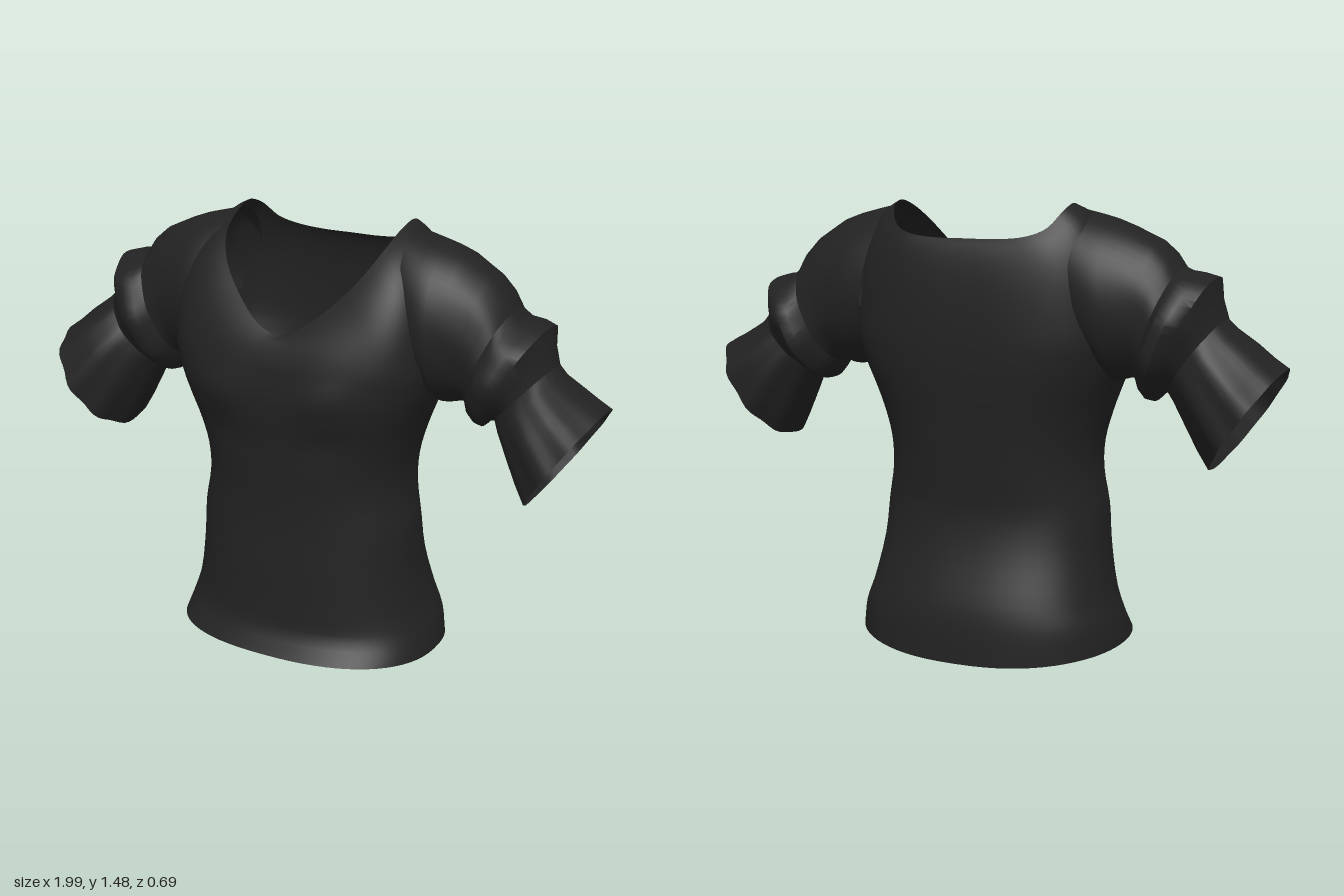
import * as THREE from 'three';
import { toCreasedNormals } from 'three/addons/utils/BufferGeometryUtils.js';

const V = (x, y, z) => new THREE.Vector3(x, y, z);
const { lerp, smoothstep } = THREE.MathUtils;

// Skin a list of closed rings (arrays of Vector3 of equal length), leaving out quads that are cut away
function loft(rings, isCut = () => false) {
  const n = rings[0].length, pos = [], idx = [];
  rings.forEach(r => r.forEach(p => pos.push(p.x, p.y, p.z)));
  for (let j = 0; j < rings.length - 1; j++) {
    for (let i = 0; i < n; i++) {
      const k = (i + 1) % n;
      if (isCut(rings[j][i].clone().lerp(rings[j + 1][k], 0.5))) continue;
      const a = j * n + i, b = j * n + k;
      idx.push(a, b, b + n, a, b + n, a + n);
    }
  }
  const g = new THREE.BufferGeometry();
  g.setAttribute('position', new THREE.Float32BufferAttribute(pos, 3));
  g.setIndex(idx);
  g.computeVertexNormals();
  return g;
}

// Torso levels: height, half width, front z, back z
const LEVELS = [
  [0.04, 0.465, 0.35, -0.345], [0.12, 0.448, 0.295, -0.338], [0.2, 0.42, 0.285, -0.322],
  [0.35, 0.392, 0.278, -0.27], [0.48, 0.382, 0.27, -0.245], [0.6, 0.36, 0.273, -0.258],
  [0.7, 0.363, 0.283, -0.27], [0.8, 0.388, 0.296, -0.28], [0.88, 0.415, 0.306, -0.29],
  [0.96, 0.445, 0.308, -0.298], [1.05, 0.47, 0.3, -0.302],
];

// Half of the neckline, from the front V over the shoulder to the back
const NECK = new THREE.CatmullRomCurve3([
  V(0, 1.14, 0.25), V(0.08, 1.175, 0.235), V(0.16, 1.24, 0.2), V(0.24, 1.33, 0.15),
  V(0.285, 1.41, 0.08), V(0.3, 1.465, -0.02), V(0.305, 1.485, -0.1), V(0.295, 1.46, -0.17),
  V(0.26, 1.41, -0.215), V(0.2, 1.385, -0.242), V(0.1, 1.375, -0.25), V(0, 1.375, -0.25),
]);

// Armhole opening, hidden under the sleeve cap
const inArmhole = p => Math.abs(p.x) > 0.36
  && ((p.y - 1.19) / 0.21) ** 2 + ((p.z + 0.04) / 0.16) ** 2 < 1;

function torsoGeometry() {
  const N = 72;
  const columns = [];
  for (let i = 0; i < N; i++) {
    const a = (i / N) * Math.PI * 2, s = Math.sin(a), c = Math.cos(a);
    const side = i <= N / 2 ? 1 : -1;
    const pts = LEVELS.map(([y, w, f, b], k) => {
      // sections grow squarer towards the chest
      const e = 2 / lerp(2.35, 2.8, smoothstep(y, 0.7, 1.05));
      const x = Math.sign(s) * Math.abs(s) ** e * w;
      let z = (f + b) / 2 + Math.sign(c) * Math.abs(c) ** e * (f - b) / 2;
      // bust fullness and a soft fold beneath it
      if (c > 0) {
        const bump = Math.exp(-(((Math.abs(x) - 0.18) / 0.1) ** 2));
        z += bump * (0.018 * Math.exp(-(((y - 0.97) / 0.07) ** 2)) - 0.01 * Math.exp(-(((y - 0.8) / 0.05) ** 2)));
      }
      // hem dips at the back and lifts at the front
      const hem = k === 0 ? (c > 0 ? 0.018 * c : -0.038 * c * c) : 0;
      return V(x, y + hem, z);
    });
    // curve over the chest and shoulder into the neckline
    const p0 = pts[pts.length - 1];
    const p2 = NECK.getPoint(side > 0 ? i / (N / 2) : (N - i) / (N / 2));
    p2.x *= side;
    const p1 = V(p0.x, lerp(p0.y, p2.y, 0.84), lerp(p0.z, p2.z, c > 0 ? 0.4 * c : 0));
    const bend = new THREE.QuadraticBezierCurve3(p0, p1, p2);
    const lower = new THREE.CatmullRomCurve3(pts);
    columns.push([...lower.getPoints(30), ...bend.getPoints(14).slice(1)]);
  }
  return loft(columns[0].map((_, j) => columns.map(col => col[j])), inArmhole);
}

// Sleeve rings: top x, y, bottom x, y, centre z, half depth, ruffle, top lift share
const CAP_END = [0.675, 1.255, 0.535, 0.93, -0.05, 0.168, 0.01, 0.7];
const PUFF_END = [0.812, 1.09, 0.635, 0.895, -0.04, 0.145, 0.01, 0.8];
const CAP = [
  [0.325, 1.468, 0.41, 0.96, -0.05, 0.19, 0, 0], [0.4, 1.45, 0.435, 0.94, -0.042, 0.205, 0, 0],
  [0.45, 1.437, 0.455, 0.925, -0.043, 0.2, 0, 0], [0.51, 1.415, 0.475, 0.925, -0.045, 0.188, 0, 0],
  [0.6, 1.358, 0.512, 0.935, -0.048, 0.17, 0.01, 0.3], [0.645, 1.31, 0.525, 0.935, -0.05, 0.166, 0.01, 0.5],
  CAP_END,
];
const PUFF = [
  CAP_END, [0.695, 1.228, 0.555, 0.895, -0.055, 0.205, 0.015, 1],
  [0.74, 1.222, 0.575, 0.87, -0.055, 0.212, 0.015, 1], [0.785, 1.21, 0.592, 0.865, -0.05, 0.195, 0.015, 1],
  [0.792, 1.15, 0.615, 0.89, -0.045, 0.165, 0.01, 0.9], PUFF_END,
];
const CUFF = [
  PUFF_END, [0.838, 1.06, 0.655, 0.865, -0.03, 0.165, 0.02, 0.8],
  [0.9, 1.025, 0.7, 0.78, -0.02, 0.19, 0.025, 0.6], [0.95, 1.0, 0.735, 0.71, -0.01, 0.2, 0.03, 0.25],
  [0.995, 0.98, 0.77, 0.65, 0, 0.208, 0.035, 0],
];

function sleeveGeometry(rows, side, lift) {
  const N = 54;
  const rings = rows.map(([tx, ty0, bx, by, zc, hz, ruffle, share]) => {
    const ty = ty0 + lift * share;
    return Array.from({ length: N }, (_, i) => {
      const a = side * (i / N) * Math.PI * 2;
      // pleats fade out at the top and bottom points
      const k = 1 + ruffle * Math.sin(9 * a) * Math.abs(Math.sin(a)) ** 0.5;
      const c = Math.cos(a) * k;
      return V(side * ((tx + bx) / 2 + c * (tx - bx) / 2),
        (ty + by) / 2 + c * (ty - by) / 2, zc + Math.sin(a) * hz * k);
    });
  });
  return toCreasedNormals(loft(rings), 0.75);
}

export function createModel() {
  const cloth = new THREE.MeshStandardMaterial({ color: 0x222222, side: THREE.DoubleSide });
  cloth.name = 'blackCloth';
  const model = new THREE.Group();
  model.name = 'blouse';
  const add = (name, geometry, parent) => {
    const m = new THREE.Mesh(geometry, cloth);
    m.name = name;
    parent.add(m);
    return m;
  };

  add('torso', torsoGeometry(), model).position.x = -0.017;

  // Sleeves: shoulder cap, puffed band and flared cuff; the right one sits a little higher
  for (const [name, side, lift] of [['left', 1, 0], ['right', -1, 0.055]]) {
    const sleeve = new THREE.Group();
    sleeve.name = name + 'Sleeve';
    add('shoulderCap', sleeveGeometry(CAP, side, lift), sleeve);
    add('puffedBand', sleeveGeometry(PUFF, side, lift), sleeve);
    add('flaredCuff', sleeveGeometry(CUFF, side, lift), sleeve);
    model.add(sleeve);
  }
  return model;
}
